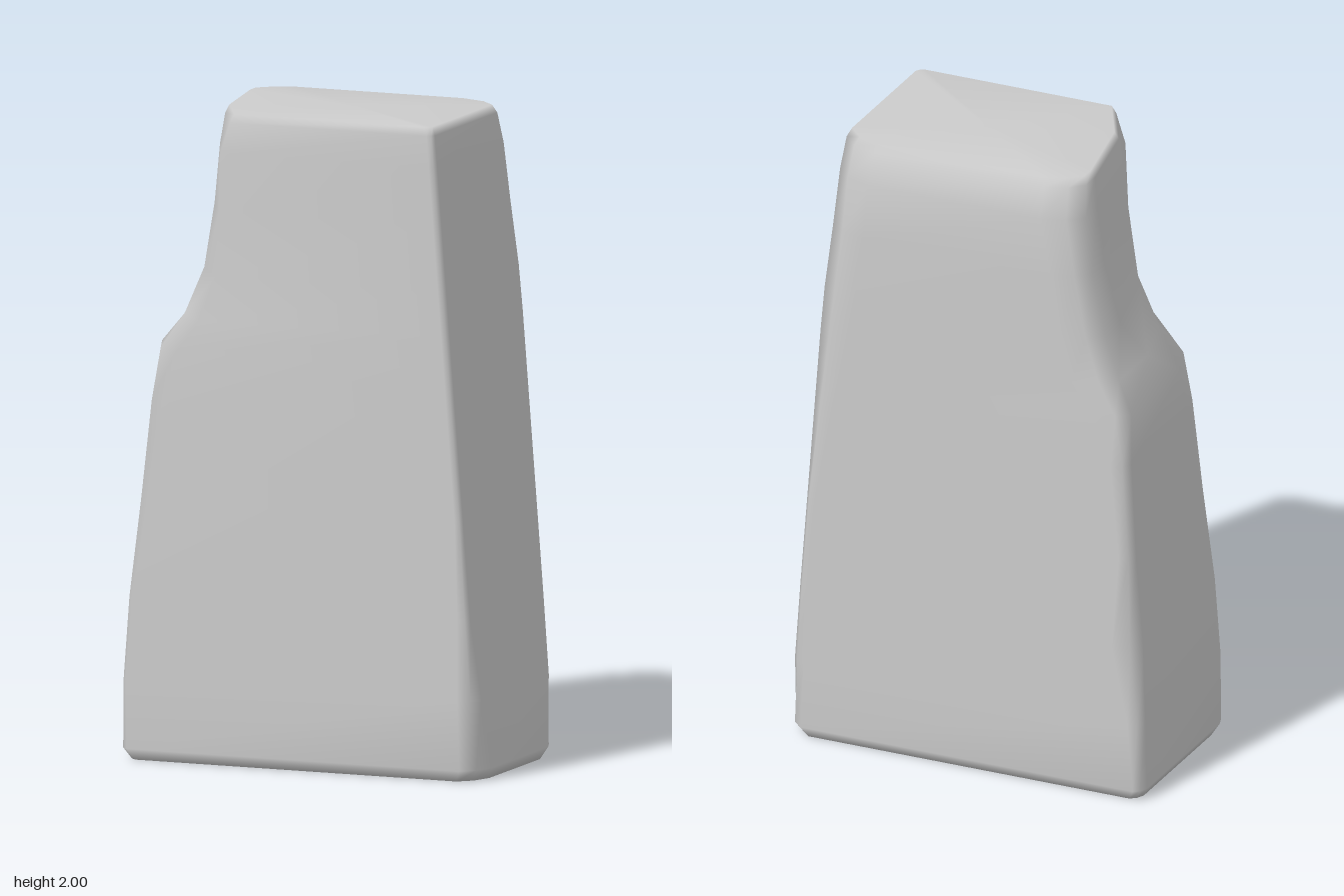
import * as THREE from 'three';

// Left outline from bottom to top: height, x, and the cuts of the left corners
const shoulder = [
  { y: 0.035, x: -0.597, front: [0.03, 0.05], back: 0.03 },
  { y: 0.25, x: -0.59, front: [0.02, 0.04], back: 0.04 },
  { y: 0.5, x: -0.578, front: [0.03, 0.06], back: 0.08 },
  { y: 0.8, x: -0.56, front: [0.06, 0.12], back: 0.04 },
  { y: 1.1, x: -0.543, front: [0.09, 0.16], back: 0.05 },
  { y: 1.26, x: -0.535, front: [0.13, 0.2], back: 0.1 },
  { y: 1.36, x: -0.49, front: [0.16, 0.34], back: 0.13 },
  { y: 1.5, x: -0.445, front: [0.17, 0.44], back: 0.12 },
  { y: 1.7, x: -0.403, front: [0.14, 0.46], back: 0.11 },
  { y: 1.88, x: -0.378, front: [0.12, 0.46], back: 0.12 },
  { y: 1.975, x: -0.367, front: [0.14, 0.45], back: 0.11 },
];

const { lerp, smoothstep } = THREE.MathUtils;
const depth = 0.306;

// A rectangle with each corner cut by a slightly bulging three-point bevel
function section({ y, x, front, back }, inset = 0) {
  const x0 = x + inset;
  const x1 = lerp(0.595, 0.438, y / 2) - inset;
  const z1 = depth - inset;
  // The back leans in near the top, and the right corners are worn at the foot
  const z0 = inset - depth + 0.036 * smoothstep(y, 1.86, 2);
  const foot = 1 - smoothstep(y, 0, 0.8);
  const chipped = smoothstep(y, 0.6, 1.8);
  const points = [];
  const corner = (cx, cz, from, to) => {
    const blend = (a, b, c) => lerp((a + b) / 2, c, 0.25);
    points.push(from, [blend(from[0], to[0], cx), blend(from[1], to[1], cz)], to);
  };
  const right = 0.02 + 0.045 * foot;
  const rightDepth = 0.02 + 0.08 * (1 - smoothstep(y, 0, 0.5));
  const backRight = 0.03 + 0.02 * foot + 0.1 * chipped;
  const backDepth = 0.03 + 0.05 * (1 - smoothstep(y, 0, 0.3)) + 0.05 * smoothstep(y, 1.4, 1.9);
  corner(x0, z1, [x0, z1 - front[1]], [x0 + front[0], z1]);
  corner(x1, z1, [x1 - right, z1], [x1, z1 - rightDepth]);
  corner(x1, z0, [x1, z0 + backDepth], [x1 - backRight, z0]);
  corner(x0, z0, [x0 + back, z0], [x0, z0 + 0.03 + back * 0.3]);
  return points.map(([px, pz]) => [px, y, pz]);
}

// Skin the sections and close both ends, sharing vertices for soft edges
function loft(rings) {
  const n = rings[0].length;
  const vertices = rings.flat();
  const index = [];
  const last = (rings.length - 1) * n;
  for (let i = 0; i < last; i += n) {
    for (let j = 0; j < n; j++) {
      const a = i + j, b = i + (j + 1) % n;
      index.push(a, b, b + n, a, b + n, a + n);
    }
  }
  const bottom = vertices.length, top = bottom + 1;
  vertices.push([0, rings[0][0][1], 0], [0.05, vertices[last][1], 0]);
  for (let j = 0; j < n; j++) {
    const k = (j + 1) % n;
    index.push(bottom, k, j, top, last + j, last + k);
  }
  const geometry = new THREE.BufferGeometry();
  geometry.setAttribute('position', new THREE.Float32BufferAttribute(vertices.flat(), 3));
  geometry.setIndex(index);
  geometry.computeVertexNormals();
  return geometry;
}

export function createModel() {
  const group = new THREE.Group();
  group.name = 'standingStone';
  // Tapered slab with a notched shoulder and narrow bevelled rims
  const rings = [
    section({ ...shoulder[0], y: 0 }, 0.02),
    ...shoulder.map((level) => section(level)),
    section({ ...shoulder[shoulder.length - 1], y: 2 }, 0.01),
  ];
  const stone = new THREE.Mesh(loft(rings), new THREE.MeshStandardMaterial({ color: 0xcccccc }));
  stone.name = 'stoneBlock';
  group.add(stone);
  return group;
}
